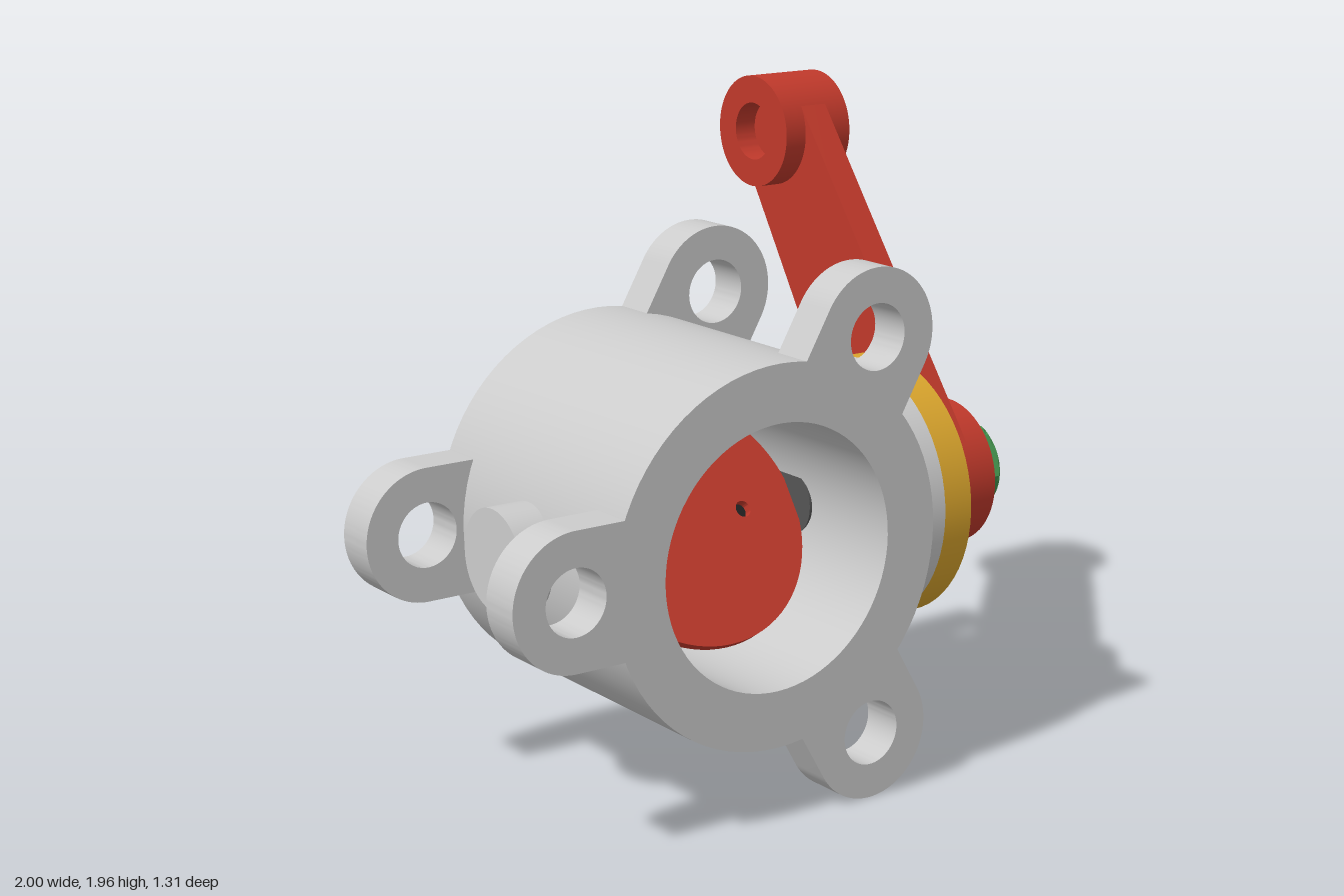
import * as THREE from 'three';
import { toCreasedNormals } from 'three/addons/utils/BufferGeometryUtils.js';

const AXIS_Y = 0.795, AXIS_Z = 0.2, BORE_X = -0.12;
const TILT = -0.6; // shared angle of lever and throttle disc
const material = (color) => new THREE.MeshStandardMaterial({ color });
const grey = material(0xcccccc), red = material(0xc0392b), yellow = material(0xdaa52d);
const green = material(0x45964f), blue = material(0x303f90), steel = material(0x555555), black = material(0x222222);

function add(parent, name, geometry, mat, x = 0, y = 0, z = 0) {
  const mesh = new THREE.Mesh(geometry, mat);
  mesh.name = name;
  mesh.position.set(x, y, z);
  parent.add(mesh);
  return mesh;
}

function group(parent, name, x, y, z) {
  const g = new THREE.Group();
  g.name = name;
  g.position.set(x, y, z);
  parent.add(g);
  return g;
}

function extrude(shape, depth) {
  const g = new THREE.ExtrudeGeometry(shape, { depth, bevelEnabled: false, curveSegments: 40 });
  return toCreasedNormals(g, 0.6);
}

// Extrusion running along +x
const extrudeX = (shape, depth) => extrude(shape, depth).rotateY(Math.PI / 2);

// Cylinder along x from x0 to x1
function rod(r, x0, x1, rEnd = r) {
  return new THREE.CylinderGeometry(rEnd, r, x1 - x0, 64).rotateZ(-Math.PI / 2).translate((x0 + x1) / 2, 0, 0);
}

function circle(r, holes = []) {
  const s = new THREE.Shape().absarc(0, 0, r, 0, Math.PI * 2);
  for (const [x, y, hr] of holes) s.holes.push(new THREE.Path().absarc(x, y, hr, 0, Math.PI * 2, true));
  return s;
}

// Mounting ear pointing along +x, fitted to the round body
function lugShape() {
  const a = Math.asin(0.2 / 0.555), x = 0.555 * Math.cos(a);
  const s = new THREE.Shape();
  s.moveTo(x, -0.2);
  s.lineTo(0.68, -0.2);
  s.absarc(0.68, 0, 0.2, -Math.PI / 2, Math.PI / 2);
  s.lineTo(x, 0.2);
  s.absarc(0, 0, 0.555, a, -a, true);
  s.holes.push(new THREE.Path().absarc(0.68, 0, 0.097, 0, Math.PI * 2, true));
  return s;
}

// Round turned blank cut down to a hexagon, which leaves chamfered corners
function nutGeometry() {
  const profile = [[0, 0], [0.155, 0], [0.155, 0.078], [0.146, 0.09], [0.135, 0.1], [0, 0.1]];
  const g = new THREE.LatheGeometry(profile.map(([r, y]) => new THREE.Vector2(r, y)), 48);
  const p = g.attributes.position, sixth = Math.PI / 3;
  for (let i = 0; i < p.count; i++) {
    const x = p.getX(i), z = p.getZ(i), r = Math.hypot(x, z);
    if (r < 1e-6) continue;
    const phi = (Math.atan2(x, z) + Math.PI * 2 + 1e-9) % sixth;
    const k = Math.min(1, 0.135 / Math.cos(phi - sixth / 2) / r);
    p.setXYZ(i, x * k, p.getY(i), z * k);
  }
  return toCreasedNormals(g, 0.3).rotateZ(-Math.PI / 2);
}

// Half of a domed screw head, flattened along the slot
function halfDome(side) {
  const g = new THREE.SphereGeometry(0.06, 32, 12, 0, Math.PI * 2, 0, Math.PI / 2).rotateZ(-Math.PI / 2);
  const p = g.attributes.position;
  for (let i = 0; i < p.count; i++) p.setZ(i, side * Math.max(side * p.getZ(i), 0.008));
  return toCreasedNormals(g, 0.5);
}

export function createModel() {
  const model = new THREE.Group();
  model.name = 'throttleValve';

  // Body with mounting ears at both ends
  const body = group(model, 'body', BORE_X, AXIS_Y, AXIS_Z);
  add(body, 'barrel', extrude(circle(0.56, [[0, 0, 0.39]]), 0.9), grey, 0, 0, -0.45);
  for (const z of [-0.45, 0.32]) {
    for (const angle of [Math.PI / 3, Math.PI, -Math.PI / 3]) {
      add(body, 'mountingLug', extrude(lugShape(), 0.13), grey, 0, 0, z).rotation.z = angle;
    }
  }

  // Parts along the cross axis
  const axis = group(model, 'crossAxis', 0, AXIS_Y, AXIS_Z);
  add(axis, 'shaftHousing', rod(0.4, 0.273, 0.53), grey);
  add(axis, 'endBoss', rod(0.15, -0.78, -0.6), grey);
  add(axis, 'coverPlate', rod(0.4, 0.53, 0.63), yellow);
  add(axis, 'nut', nutGeometry(), green, 0.88);
  add(axis, 'shaftTip', rod(0.075, 0.86, 0.985), steel);
  add(axis, 'shaftTipChamfer', rod(0.075, 0.985, 1, 0.06), steel);
  for (const side of [-1, 1]) {
    const x0 = BORE_X + side * 0.381, x1 = BORE_X + side * 0.44;
    add(axis, 'shaftEnd', rod(0.1, Math.min(x0, x1), Math.max(x0, x1)), steel);
  }

  // Slotted cover screws
  for (let i = 0; i < 3; i++) {
    const a = (i * Math.PI * 2) / 3;
    const screw = group(axis, 'coverScrew', 0.63, 0.3 * Math.sin(a), 0.3 * Math.cos(a));
    for (const side of [-1, 1]) add(screw, 'screwHeadHalf', halfDome(side), blue);
    add(screw, 'slotFloor', rod(0.053, 0, 0.026), blue);
  }

  // Throttle disc on the flat of a half-round shaft
  const throttle = group(axis, 'throttle', BORE_X, 0, 0);
  throttle.rotation.x = TILT;
  add(throttle, 'disc', extrude(circle(0.387, [-0.2, 0.2].map((x) => [x, 0, 0.025])), 0.03), red, 0, 0, -0.015);
  const a = Math.acos(0.15);
  const half = new THREE.Shape().absarc(0, 0, 0.1, -a, a);
  add(throttle, 'halfShaft', extrudeX(half, 0.77), steel, -0.385);
  for (const x of [-0.2, 0.2]) {
    const pin = new THREE.CylinderGeometry(0.025, 0.025, 0.089, 24).rotateX(Math.PI / 2);
    add(throttle, 'discScrewHole', pin, black, x, 0, -0.0575);
  }

  // Lever: hub, tapered arm and pierced end
  const lever = group(axis, 'lever', 0, 0, 0);
  lever.rotation.x = TILT;
  const length = 1.205, r1 = 0.225, r2 = 0.175, b = Math.asin((r1 - r2) / length);
  const arm = new THREE.Shape();
  arm.moveTo(r1 * Math.cos(b), r1 * Math.sin(b));
  arm.lineTo(r2 * Math.cos(b), length + r2 * Math.sin(b));
  arm.absarc(0, length, r2 - 0.001, b, Math.PI - b);
  arm.lineTo(-r1 * Math.cos(b), r1 * Math.sin(b));
  arm.holes.push(new THREE.Path().absarc(0, length, 0.095, 0, Math.PI * 2, true));
  add(lever, 'leverArm', extrudeX(arm, 0.095), red, 0.705);
  add(lever, 'leverHub', rod(r1, 0.63, 0.88), red);
  add(lever, 'leverEye', extrudeX(circle(r2, [[0, 0, 0.09]]), 0.25), red, 0.63, length);

  return model;
}
